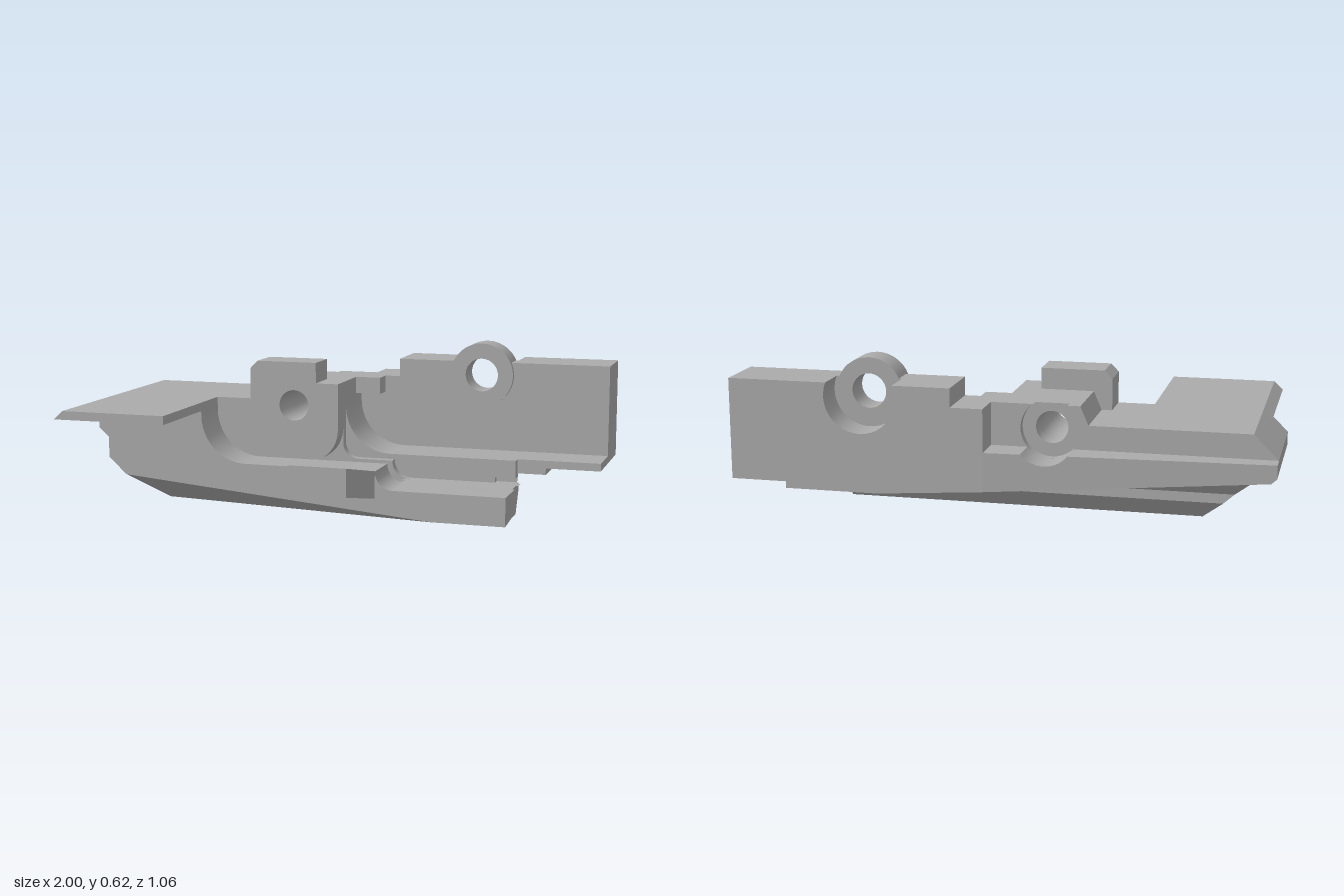
import * as THREE from 'three';
import { toCreasedNormals } from 'three/addons/utils/BufferGeometryUtils.js';
import { ConvexGeometry } from 'three/addons/geometries/ConvexGeometry.js';

const grey = new THREE.MeshStandardMaterial({ color: 0xaaaaaa });
grey.name = 'plain grey';

// Points along an arc, angles in degrees
function arc(cx, cy, r, from, to, n = 12) {
  return Array.from({ length: n + 1 }, (_, i) => {
    const a = THREE.MathUtils.degToRad(from + (to - from) * i / n);
    return [cx + r * Math.cos(a), cy + r * Math.sin(a)];
  });
}

export function createModel() {
  const model = new THREE.Group();

  function add(name, geometry) {
    const mesh = new THREE.Mesh(geometry, grey);
    mesh.name = name;
    model.add(mesh);
    return mesh;
  }

  // Slab with an x-y outline between two depths, with optional round holes [x, y, r]
  function slab(name, points, z0, z1, holes = [], rule = null) {
    const shape = new THREE.Shape(points.map(p => new THREE.Vector2(...p)));
    for (const [x, y, r] of holes) {
      shape.holes.push(new THREE.Path().absarc(x, y, r, 0, Math.PI * 2, true));
    }
    const g = new THREE.ExtrudeGeometry(shape, { depth: z1 - z0, bevelEnabled: false, curveSegments: 16 });
    g.translate(0, 0, z0);
    if (rule) {
      const p = g.attributes.position, v = new THREE.Vector3();
      for (let i = 0; i < p.count; i++) {
        rule(v.fromBufferAttribute(p, i));
        p.setXYZ(i, v.x, v.y, v.z);
      }
    }
    return add(name, toCreasedNormals(g, 0.5));
  }

  const hull = (name, pts) => add(name, new ConvexGeometry(pts.map(p => new THREE.Vector3(...p))));

  // Shared outlines: sloping nose, raised top, and the pin and eye holes
  const nose = [[-0.91, 0.41], [-1, 0.32], [-1, 0.27]];
  const top = [[-0.29, 0.48], [-0.32, 0.41], ...nose];
  const pin = [-0.18, 0.39, 0.06];
  const step = [[0.7, 0.11], ...arc(0.27, 0.18, 0.07, 270, 180)];

  // Keel, split around the long slot, with a chamfered front corner
  hull('keelFront', [
    [0.7, 0, 0.17], [0.42, 0, 0.17], [-0.82, 0.11, 0.17], [0.7, 0.11, 0.17],
    [-0.7, 0, 0.02], [-0.7, 0, 0], [0.69, 0, 0], [0.69, 0.11, 0], [-0.822, 0.11, 0],
  ]);
  hull('keelBack', [
    [-0.7, 0, -0.07], [0.69, 0, -0.07], [0.685, 0.075, -0.14], [-0.783, 0.075, -0.14],
    [-0.822, 0.11, -0.07], [0.69, 0.11, -0.07], [0.685, 0.11, -0.14], [-0.822, 0.11, -0.14],
  ]);
  hull('keelNose', [-0.07, 0].flatMap(z => [
    [-0.7, 0, z], [-0.65, 0, z], [-0.65, 0.11, z], [-0.822, 0.11, z],
  ]));
  slab('keelTail', [
    [0.69, -0.07], [0.69, 0], ...arc(0.225, -0.035, 0.035, 90, -90),
  ], -0.11, 0).geometry.rotateX(Math.PI / 2);

  // Front wall with the rounded pocket
  slab('frontWall', [
    [-0.822, 0.11], ...step, ...arc(-0.32, 0.36, 0.18, 270, 180),
    [-0.5, 0.38], [-0.895, 0.38], [-0.895, 0.176],
  ], 0, 0.17);
  slab('noseCorner', [[-0.895, 0.176], [-0.895, 0.38], [-0.94, 0.38], [-1, 0.32], [-1, 0.27]], 0, 0.04);

  // Overhanging plate
  slab('topPlate', [[-0.945, 0.377], [-0.5, 0.377], [-0.5, 0.41], [-0.91, 0.41]], 0, 0.53);

  // Centre block, rounded where it overhangs the slot
  slab('centreBlock', [
    [-0.822, 0.11], [-0.14, 0.11], [-0.14, 0.17], ...arc(-0.13, 0.3, 0.13, -90, 0),
    [0, 0.48], ...top,
  ], -0.07, 0, [pin]);
  slab('centreBlockRear', [
    [-0.822, 0.11], ...step, ...arc(0.06, 0.24, 0.06, 270, 180), [0, 0.48], ...top,
  ], -0.105, -0.07, [pin]);
  slab('lockTab', [
    [-0.36, 0.41], [-0.32, 0.41], [-0.29, 0.48], [-0.09, 0.48], [-0.09, 0.56], [-0.33, 0.56], [-0.36, 0.53],
  ], -0.14, 0);

  // Long trough with a filleted end; its underside rises toward the nose
  const trough = [...arc(0.18, 0.38, 0.18, 270, 180), [0, 0.48], ...top];
  const shelfBottom = [[-0.98, 0.252], [0.44, 0.145], [0.79, 0.145], [0.79, 0.17], [1, 0.17]];
  slab('troughFront', [[-0.822, 0.11], [0.6, 0.11], [0.6, 0.13], [0.68, 0.13], [0.68, 0.2], ...trough],
    -0.14, -0.105, [pin]);
  slab('trough', [...shelfBottom, [1, 0.2], ...trough], -0.315, -0.14, [pin]);

  // Widening web below, between keel and shelf
  hull('keelWeb', [
    [0.68, 0.11, -0.138], [0.68, 0.146, -0.138], [0.68, 0.146, -0.16],
    [-0.822, 0.11, -0.138], [-0.976, 0.25, -0.138], [-0.976, 0.25, -0.26],
  ]);

  // Rear wall, notched for the eye, with the pin recess open at the top
  const wallTop = [[1, 0.55], ...arc(0.5, 0.5, 0.065, 50.3, -230.3, 24), [0.16, 0.55], [0.16, 0.48]];
  slab('rearWall', [...shelfBottom, ...wallTop, ...top], -0.37, -0.315, [pin]);
  slab('rearWallRecessed', [
    ...shelfBottom, ...wallTop, ...arc(-0.18, 0.39, 0.11, 54.9, -234.9, 28), ...top,
  ], -0.405, -0.37);

  // Back skin right of the ledge, cut away behind the eye
  slab('backSkin', [
    [0.04, 0.175], ...shelfBottom.slice(1), [1, 0.55],
    ...arc(0.5, 0.5, 0.135, 21.7, -201.7, 24), [0.16, 0.55], [0.16, 0.48], [0.04, 0.48],
  ], -0.53, -0.405);

  // Low back ledge that tapers toward the nose
  slab('backLedge', [
    shelfBottom[0], [0.04, 0.175], [0.04, 0.32],
    ...arc(-0.18, 0.39, 0.11, -39.5, -140.5, 14), [-1, 0.32], [-1, 0.27],
  ], -0.53, -0.405, [], v => {
    if (v.z < -0.5) v.z += (0.04 - v.x) * 0.055;
  });

  // Pivot eye ring
  slab('pivotRing', arc(0.5, 0.5, 0.125, 0, 350, 35), -0.406, -0.295, [[0.5, 0.5, 0.065]]);

  // Small ledge beside the centre block
  slab('smallLedge', [[0, 0.415], [0.1, 0.415], [0.1, 0.48], [0, 0.48]], -0.315, -0.24);

  // Forward foot, rising toward its tip
  hull('foot', [-0.02, 0.2].flatMap(x => [
    [x, 0.075, 0.165], [x, 0.18, 0.165], [x, 0.255, 0.53], [x, 0.15, 0.53],
  ]));

  return model;
}
